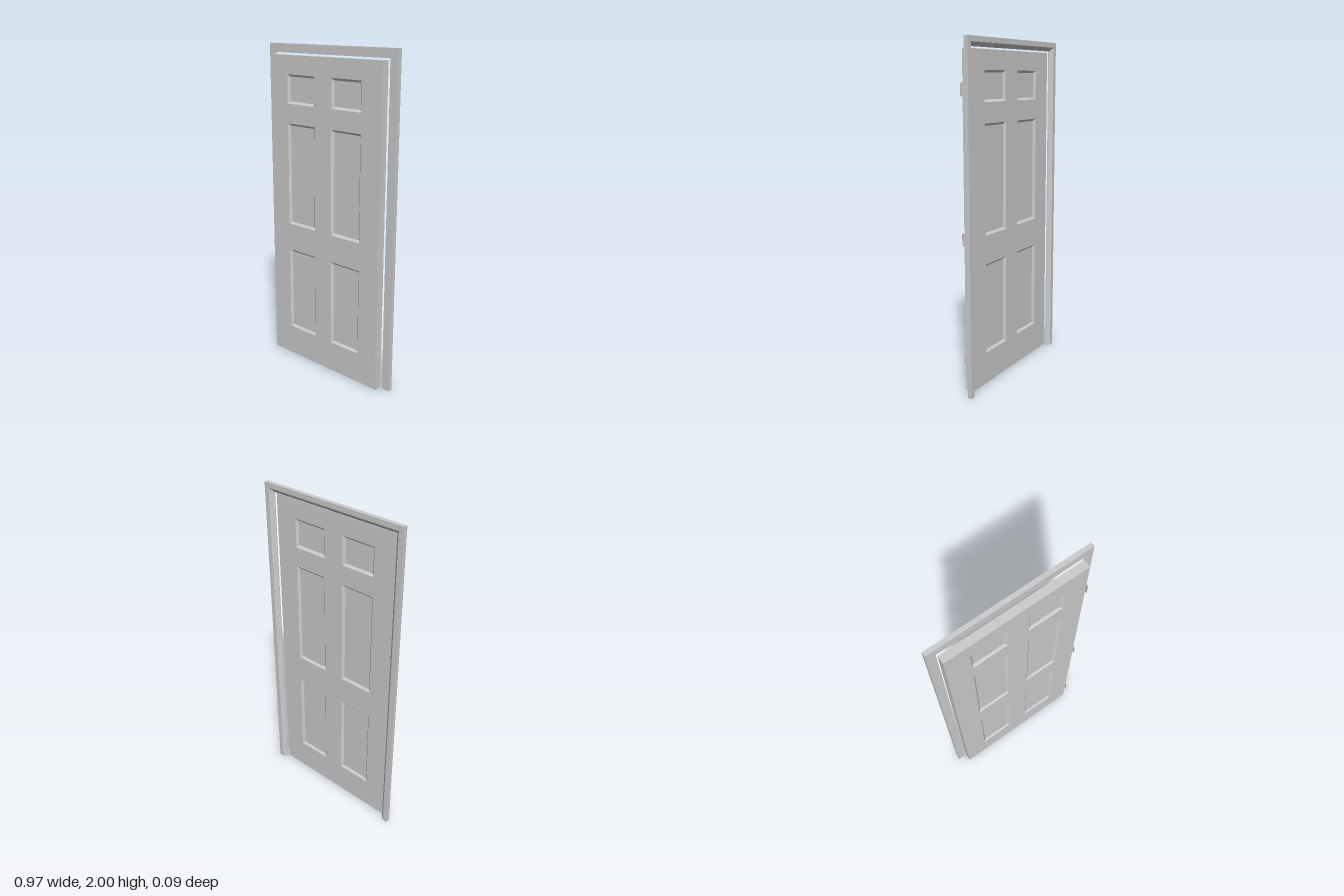
import * as THREE from 'three';

const material = new THREE.MeshStandardMaterial({ color: 0xcccccc });

function addMesh(parent, name, geometry) {
  const mesh = new THREE.Mesh(geometry, material);
  mesh.name = name;
  parent.add(mesh);
  return mesh;
}

// Flat-shaded geometry from convex polygons (arrays of corners, counter-clockwise from outside)
function fromPolygons(polygons) {
  const positions = [];
  for (const p of polygons) {
    for (let i = 1; i < p.length - 1; i++) positions.push(...p[0], ...p[i], ...p[i + 1]);
  }
  const geometry = new THREE.BufferGeometry();
  geometry.setAttribute('position', new THREE.Float32BufferAttribute(positions, 3));
  geometry.computeVertexNormals();
  return geometry;
}

// Mitred casing: a profile with a sloped back inner edge, swept up, across and down
function casingGeometry() {
  const W = 0.485, H = 2;
  const profile = [[0, -0.046], [0.03, -0.046], [0.053, -0.025], [0.053, -0.02], [0, -0.02]]; // inset, z
  const stations = [
    (u, z) => [-W + u, 0, z],
    (u, z) => [-W + u, H - u, z],
    (u, z) => [W - u, H - u, z],
    (u, z) => [W - u, 0, z],
  ].map((place) => profile.map(([u, z]) => place(u, z)));
  const polygons = [stations[0], [...stations[3]].reverse()];
  for (let s = 0; s < 3; s++) {
    for (let i = 0; i < profile.length; i++) {
      const j = (i + 1) % profile.length;
      polygons.push([stations[s][i], stations[s + 1][i], stations[s + 1][j], stations[s][j]]);
    }
  }
  return fromPolygons(polygons);
}

// Sunken panel: sloped moulding down to a flat field, facing +z
function panelGeometry(w, h, z) {
  const slope = 0.013, depth = 0.012;
  const rect = (inset, zz) => [[-1, -1], [1, -1], [1, 1], [-1, 1]]
    .map(([sx, sy]) => [sx * (w / 2 - inset), sy * (h / 2 - inset), zz]);
  const outer = rect(0, z), inner = rect(slope, z - depth);
  const polygons = [inner];
  for (let i = 0; i < 4; i++) {
    const j = (i + 1) % 4;
    polygons.push([outer[i], outer[j], inner[j], inner[i]]);
  }
  return fromPolygons(polygons);
}

function rectPath(PathType, x0, x1, y0, y1) {
  return new PathType([[x0, y0], [x1, y0], [x1, y1], [x0, y1]].map((p) => new THREE.Vector2(...p)));
}

function createDoor() {
  const door = new THREE.Group();
  door.name = 'door';
  const halfDepth = 0.0235, halfWidth = 0.426;
  const rows = [[0.2, 0.735], [0.905, 1.537], [1.655, 1.827]];
  const panelWidth = 0.218, panelX = 0.175;

  // Slab with six openings
  const slab = rectPath(THREE.Shape, -halfWidth, halfWidth, 0.01, 1.938);
  for (const [y0, y1] of rows) {
    for (const side of [-1, 1]) {
      const x = side * panelX;
      slab.holes.push(rectPath(THREE.Path, x - panelWidth / 2, x + panelWidth / 2, y0, y1));

      // Panels on both faces
      for (const face of ['front', 'back']) {
        const panel = addMesh(door, face + 'Panel', panelGeometry(panelWidth, y1 - y0, halfDepth));
        panel.position.set(x, (y0 + y1) / 2, 0);
        if (face === 'back') panel.rotation.y = Math.PI;
      }
    }
  }
  const slabGeometry = new THREE.ExtrudeGeometry(slab, { depth: halfDepth * 2, bevelEnabled: false });
  slabGeometry.translate(0, 0, -halfDepth);
  addMesh(door, 'slab', slabGeometry);

  door.position.set(-0.0015, 0, 0.009);
  return door;
}

// Thin leaf on the door edge with a slim knuckle at the front
function createHinge(y) {
  const hinge = new THREE.Group();
  hinge.name = 'hinge';
  const height = 0.073;
  addMesh(hinge, 'hingeLeaf', new THREE.BoxGeometry(0.003, height, 0.052)).position.set(0, 0, 0.017);
  addMesh(hinge, 'hingeKnuckle', new THREE.CylinderGeometry(0.0025, 0.0025, height, 10)).position.set(0, 0, 0.0435);
  hinge.position.set(0.4255, y, 0);
  return hinge;
}

export function createModel() {
  const model = new THREE.Group();
  model.name = 'panelDoor';
  addMesh(model, 'casing', casingGeometry());
  model.add(createDoor());
  for (const y of [0.205, 0.903, 1.723]) model.add(createHinge(y));
  return model;
}
